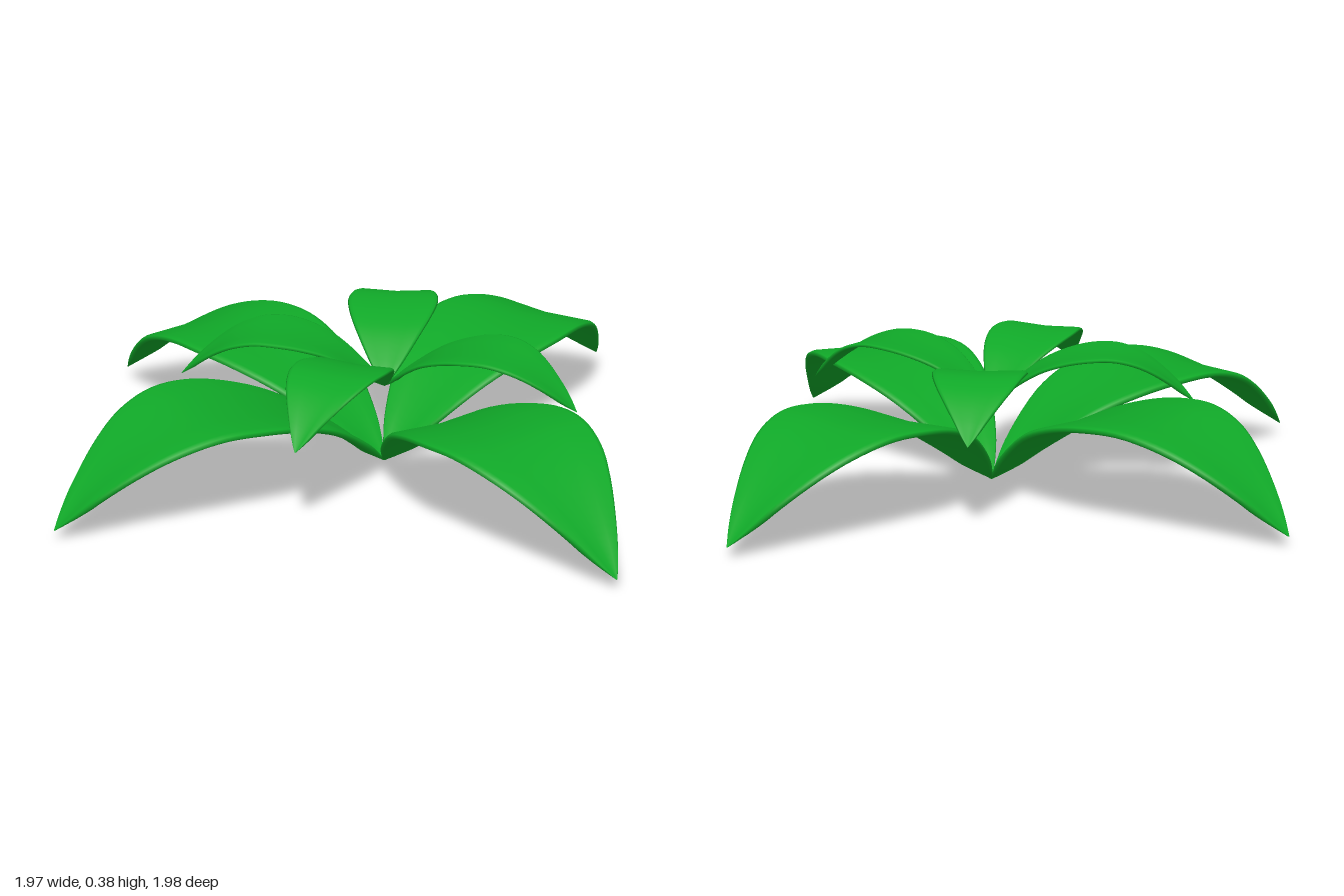
import * as THREE from 'three';

// Midrib stations along a leaf: [reach, height, half width]
const stations = [
  [0, 0.012, 0.004], [0.04, 0.05, 0.04], [0.1, 0.105, 0.085], [0.25, 0.21, 0.165],
  [0.38, 0.262, 0.21], [0.5, 0.287, 0.23], [0.62, 0.29, 0.218], [0.73, 0.262, 0.186],
  [0.82, 0.215, 0.142], [0.92, 0.14, 0.08], [0.98, 0.083, 0.037], [1.02, 0.042, 0.002],
];

// Closed cross-section: [fraction of half width, offset along the leaf normal],
// slightly channelled on top with a rounded rim
const section = [
  [-1, -0.009], [-0.97, -0.001], [-0.9, 0.003], [-0.5, -0.001], [0, -0.006], [0.5, -0.001],
  [0.9, 0.003], [0.97, -0.001], [1, -0.009],
  [0.95, -0.016], [0.5, -0.018], [0, -0.022], [-0.5, -0.018], [-0.95, -0.016],
];

function leafGeometry() {
  const curve = new THREE.CatmullRomCurve3(stations.map(s => new THREE.Vector3(...s)));
  const rows = 48, n = section.length;
  const pos = [], idx = [];
  for (let i = 0; i <= rows; i++) {
    const p = curve.getPoint(i / rows);
    const t = curve.getTangent(i / rows);
    const len = Math.hypot(t.x, t.y) || 1;
    const nx = -t.y / len, ny = t.x / len;
    const thin = Math.min(1, p.z / 0.06); // thickness fades at both ends
    for (const [u, v] of section) {
      pos.push(p.x + nx * v * thin, p.y + ny * v * thin, u * p.z);
    }
  }
  for (let i = 0; i < rows; i++) {
    for (let j = 0; j < n; j++) {
      const k = (j + 1) % n;
      const a = i * n + j, b = i * n + k, c = a + n, d = b + n;
      idx.push(a, b, c, b, d, c);
    }
  }
  const g = new THREE.BufferGeometry();
  g.setAttribute('position', new THREE.Float32BufferAttribute(pos, 3));
  g.setIndex(idx);
  g.computeVertexNormals();
  return g;
}

export function createModel() {
  const model = new THREE.Group();
  model.name = 'leafyPlant';
  const green = new THREE.MeshStandardMaterial({ color: 0x10a828, side: THREE.DoubleSide });
  const geometry = leafGeometry();

  // One whorl of leaves around the stem axis, angles in degrees from +x towards +z
  const whorl = (name, angles, scale, height) => {
    const group = new THREE.Group();
    group.name = name + 'Whorl';
    group.position.set(-0.04, height, 0.02);
    angles.forEach((angle, i) => {
      const leaf = new THREE.Mesh(geometry, green);
      leaf.name = name + 'Leaf' + (i + 1);
      leaf.scale.setScalar(scale);
      leaf.rotation.y = -THREE.MathUtils.degToRad(angle);
      group.add(leaf);
    });
    model.add(group);
  };

  whorl('lower', [4, 109.3, 201.8, -86], 1, 0);
  whorl('upper', [-31, 79, 168, -120.6], 0.56, 0.229);
  return model;
}
